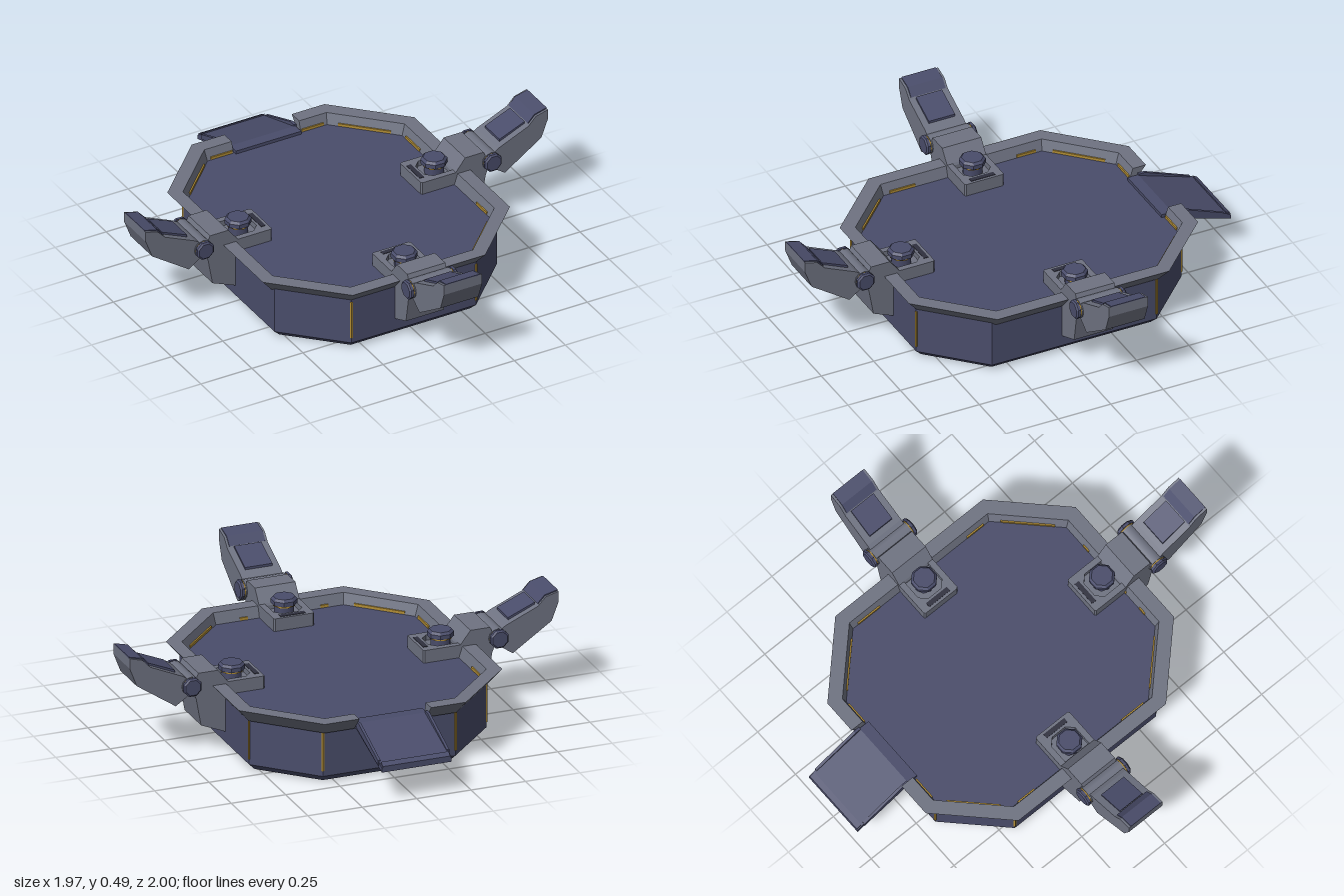
import * as THREE from 'three';

const mat = (name, color) => {
  const m = new THREE.MeshStandardMaterial({ color });
  m.name = name;
  return m;
};
const grey = mat('steel grey', 0x6f7382);
const blue = mat('slate blue', 0x4a4d6b);
const dark = mat('dark slot', 0x30313f);
const gold = mat('gold trim', 0xb08c34);

// Flat-shaded solid through a list of equal-sized rings, capped at both ends.
function loft(rings) {
  const pos = [];
  const tri = (a, b, c) => pos.push(...a, ...b, ...c);
  const n = rings[0].length;
  for (let i = 0; i < rings.length - 1; i++) {
    for (let j = 0; j < n; j++) {
      const k = (j + 1) % n, A = rings[i], B = rings[i + 1];
      tri(A[j], A[k], B[k]);
      tri(A[j], B[k], B[j]);
    }
  }
  const first = rings[0], last = rings[rings.length - 1];
  for (let j = 1; j < n - 1; j++) {
    tri(first[0], first[j + 1], first[j]);
    tri(last[0], last[j], last[j + 1]);
  }
  const g = new THREE.BufferGeometry();
  g.setAttribute('position', new THREE.Float32BufferAttribute(pos, 3));
  g.computeVertexNormals();
  return g;
}

// Long octagon inset by d at height y, counter-clockwise seen from above.
function octagon({ hx, z0, z1, cut }, d, y) {
  const X = hx - d, a = z0 + d, b = z1 - d, c = cut - 0.586 * d;
  return [[X, y, b - c], [X, y, a + c], [X - c, y, a], [c - X, y, a],
    [-X, y, a + c], [-X, y, b - c], [c - X, y, b], [X - c, y, b]];
}
const hull = { hx: 0.545, z0: -0.69, z1: 0.575, cut: 0.24 };
const deck = { hx: 0.605, z0: -0.76, z1: 0.62, cut: 0.28 };

function add(parent, name, geometry, material, x = 0, y = 0, z = 0) {
  const m = new THREE.Mesh(geometry, material);
  m.name = name;
  m.position.set(x, y, z);
  parent.add(m);
  return m;
}

// Side profile in (x, y), given width along z and centred on it.
function slab(points, width) {
  const s = new THREE.Shape(points.map(p => new THREE.Vector2(...p)));
  return new THREE.ExtrudeGeometry(s, { depth: width, bevelEnabled: false }).translate(0, 0, -width / 2);
}

// Chamfered eight-sided disc with its axis along y.
function knob(r, h) {
  const pts = [[0, 0], [r, 0], [r, h * 0.65], [r * 0.82, h], [0, h]].map(p => new THREE.Vector2(...p));
  const g = new THREE.LatheGeometry(pts, 8, Math.PI / 8).toNonIndexed();
  g.computeVertexNormals();
  return g;
}

// Clamp arm pointing along +x.
function makeArm(name) {
  const arm = new THREE.Group();
  arm.name = name;
  add(arm, 'bracket', slab([[0.53, 0.09], [0.547, 0.08], [0.658, 0.126], [0.68, 0.25], [0.70, 0.30],
    [0.67, 0.368], [0.58, 0.368], [0.535, 0.31], [0.53, 0.30]], 0.186), grey);
  add(arm, 'claw', slab([[0.705, 0.28], [0.774, 0.232], [0.953, 0.353], [0.985, 0.437], [0.985, 0.484],
    [0.926, 0.468], [0.89, 0.43], [0.742, 0.365], [0.69, 0.33]], 0.186), grey);
  add(arm, 'clawPanel', slab([[0.765, 0.355], [0.885, 0.405], [0.888, 0.438], [0.765, 0.386]], 0.125), blue);
  add(arm, 'tipPlate', slab([[0.898, 0.435], [0.926, 0.466], [0.985, 0.482], [0.985, 0.488],
    [0.924, 0.473], [0.892, 0.438]], 0.165), blue);

  // Hinge barrel with a bolt on each end
  const hinge = add(arm, 'hingeBarrel', new THREE.CylinderGeometry(0.042, 0.042, 0.196, 12), grey, 0.705, 0.316, 0);
  hinge.rotation.x = Math.PI / 2;
  for (const s of [1, -1]) {
    const ring = add(arm, 'hingeRing', new THREE.CylinderGeometry(0.039, 0.039, 0.008, 8), gold, 0.705, 0.316, s * 0.101);
    ring.rotation.x = Math.PI / 2;
    const bolt = add(arm, 'hingeBolt', knob(0.044, 0.018), blue, 0.705, 0.316, s * 0.104);
    bolt.rotation.x = s * Math.PI / 2;
  }

  // Pad on the deck: frame with a clipped-corner recess
  const outline = (a, b, h, c) => [[a + c, -h], [b - c, -h], [b, c - h], [b, h - c],
    [b - c, h], [a + c, h], [a, h - c], [a, c - h]].map(p => new THREE.Vector2(...p));
  const frame = new THREE.Shape(outline(0.365, 0.59, 0.093, 0.006));
  frame.holes.push(new THREE.Path(outline(0.41, 0.565, 0.066, 0.03).reverse()));
  const frameGeo = new THREE.ExtrudeGeometry(frame, { depth: 0.066, bevelEnabled: false }).rotateX(-Math.PI / 2);
  add(arm, 'padFrame', frameGeo, grey, 0, 0.242, 0);
  add(arm, 'padBase', new THREE.BoxGeometry(0.19, 0.035, 0.17), grey, 0.48, 0.265, 0);
  add(arm, 'padSlot', new THREE.BoxGeometry(0.022, 0.006, 0.115), dark, 0.388, 0.307, 0);
  add(arm, 'knobStem', new THREE.CylinderGeometry(0.045, 0.045, 0.045, 8), blue, 0.48, 0.303, 0);
  add(arm, 'knobRing', new THREE.CylinderGeometry(0.051, 0.051, 0.008, 8), gold, 0.48, 0.322, 0);
  add(arm, 'knob', knob(0.058, 0.03), blue, 0.48, 0.326, 0);
  return arm;
}

export function createModel() {
  const model = new THREE.Group();
  model.name = 'clampPlatform';

  // Hull with a chamfered underside; its top is the deck floor
  add(model, 'hull', loft([[0.03, 0], [0, 0.03], [0, 0.25]].map(p => octagon(hull, ...p))), blue);

  // Rim swept round the octagon, open at the back for the ramp
  const gap = 0.165;
  const loops = [[0.055, 0.235], [0.078, 0.25], [0.062, 0.30], [0, 0.30]].map(([d, y]) => {
    const o = octagon(deck, d, y), z = deck.z0 + d;
    return [[-gap, y, z], ...o.slice(3), ...o.slice(0, 3), [gap, y, z]];
  });
  add(model, 'rim', loft(loops[0].map((_, i) => loops.map(l => l[i]))), grey);

  // Gold strips on the hull's upright corners
  const corners = octagon(hull, -0.001, 0.145);
  for (const i of [1, 2, 3, 4, 6, 7]) {
    const [x, y, z] = corners[i];
    const strip = add(model, 'cornerStrip', new THREE.BoxGeometry(0.009, 0.18, 0.009), gold, x * 0.997, y, z * 0.997);
    strip.rotation.y = Math.PI / 8;
  }

  // Gold light strips along the foot of the rim's inner wall
  const inner = octagon(deck, 0.076, 0.258);
  const lamp = (i, t0, t1) => {
    const a = new THREE.Vector3(...inner[i]), b = new THREE.Vector3(...inner[(i + 1) % 8]);
    const len = a.distanceTo(b) * (t1 - t0);
    const p = a.clone().lerp(b, (t0 + t1) / 2);
    const m = add(model, 'rimLight', new THREE.BoxGeometry(len, 0.012, 0.008), gold, p.x, p.y, p.z);
    m.rotation.y = Math.atan2(a.z - b.z, b.x - a.x);
  };
  for (const i of [0, 4]) {
    lamp(i, 0.04, 0.16);
    lamp(i, 0.80, 0.96);
  }
  for (const i of [1, 3, 5, 7]) lamp(i, 0.15, 0.85);
  lamp(2, 0.03, 0.21);
  lamp(2, 0.79, 0.97);
  for (let k = 0; k < 4; k++) lamp(6, 0.12 + k * 0.21, 0.18 + k * 0.21);

  // Loading ramp sloping down at the back
  const ramp = new THREE.Group();
  ramp.name = 'ramp';
  ramp.rotation.y = Math.PI / 2;
  add(ramp, 'rampPlate', slab([[0.67, 0.235], [0.71, 0.235], [0.985, 0.15], [1, 0.145], [1, 0.165],
    [0.975, 0.18], [0.72, 0.265], [0.67, 0.265]], 0.32), blue);
  for (const s of [1, -1]) {
    add(ramp, 'rampRail', slab([[0.72, 0.245], [0.965, 0.165], [0.965, 0.188], [0.75, 0.272], [0.72, 0.272]], 0.012),
      blue, 0, 0, s * 0.158);
  }
  add(ramp, 'rampLip', slab([[0.978, 0.175], [1, 0.16], [1, 0.172], [0.978, 0.185]], 0.31), blue);
  model.add(ramp);

  // Three clamp arms: left, right and front
  const left = makeArm('leftArm');
  left.position.z = -0.092;
  const right = makeArm('rightArm');
  right.position.z = -0.092;
  right.rotation.y = Math.PI;
  const front = makeArm('frontArm');
  front.position.z = 0.013;
  front.rotation.y = -Math.PI / 2;
  model.add(left, right, front);
  return model;
}
